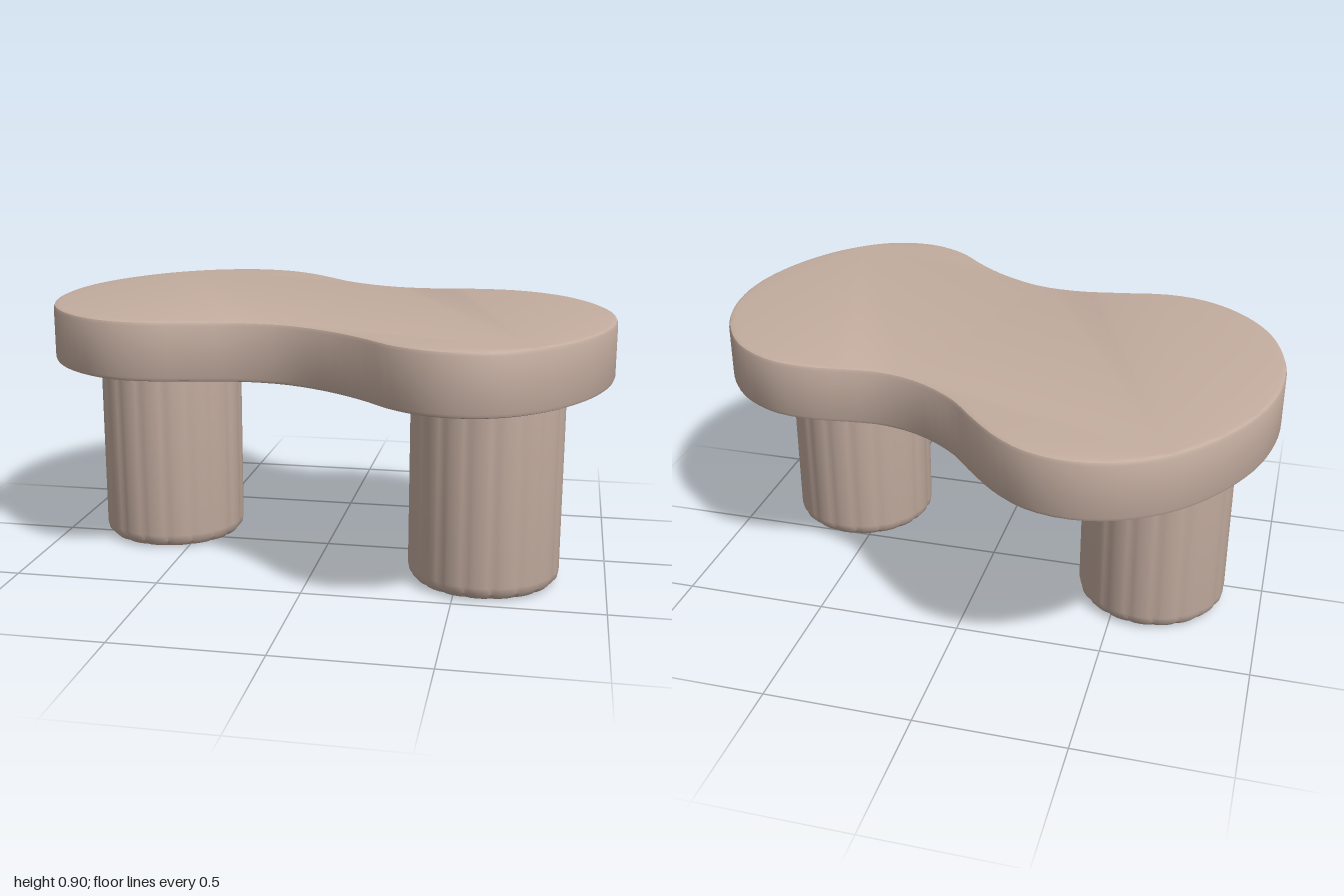
import * as THREE from 'three';
import { toCreasedNormals } from 'three/addons/utils/BufferGeometryUtils.js';

const stone = new THREE.MeshStandardMaterial({ color: 0xc4ada0 });
stone.name = 'warm clay';

// Outline of the kidney-shaped slab as x, z pairs
const OUTLINE = [
  [-0.45, -0.845], [-0.6, -0.81], [-0.75, -0.71], [-0.88, -0.54], [-0.97, -0.33], [-1, -0.1],
  [-0.97, 0.12], [-0.9, 0.29], [-0.78, 0.43], [-0.65, 0.505], [-0.52, 0.522], [-0.36, 0.495],
  [-0.2, 0.472], [-0.05, 0.49], [0.1, 0.565], [0.22, 0.66], [0.32, 0.76], [0.42, 0.82],
  [0.52, 0.84], [0.66, 0.81], [0.8, 0.7], [0.91, 0.53], [0.98, 0.32], [0.995, 0.15],
  [0.97, -0.03], [0.9, -0.2], [0.8, -0.33], [0.66, -0.415], [0.52, -0.435], [0.38, -0.42],
  [0.27, -0.415], [0.14, -0.45], [0, -0.54], [-0.1, -0.65], [-0.2, -0.75], [-0.31, -0.82],
];

function makeTop() {
  const bottom = 0.703, top = 0.902, bevel = 0.014;
  const curve = new THREE.CatmullRomCurve3(
    OUTLINE.map(([x, z]) => new THREE.Vector3(x, -z, 0)), true, 'centripetal');
  const points = curve.getSpacedPoints(120).slice(0, -1);
  const shape = new THREE.Shape(points.map((p) => new THREE.Vector2(p.x, p.y)));
  const geometry = new THREE.ExtrudeGeometry(shape, {
    depth: top - bottom - 2 * bevel,
    bevelSize: bevel, bevelThickness: bevel, bevelOffset: -bevel, bevelSegments: 2,
  });
  geometry.rotateX(-Math.PI / 2).translate(0, bottom + bevel, 0);
  const mesh = new THREE.Mesh(toCreasedNormals(geometry, 0.6), stone);
  mesh.name = 'tableTop';
  return mesh;
}

// Round pillar with shallow flutes and a softened foot
function makeLeg(name, x, z) {
  const profile = [[0, 0], [0.215, 0], [0.238, 0.008], [0.254, 0.026], [0.259, 0.05], [0.259, 0.72]]
    .map(([r, y]) => new THREE.Vector2(r, y));
  const geometry = new THREE.LatheGeometry(profile, 108);
  const pos = geometry.attributes.position;
  for (let i = 0; i < pos.count; i++) {
    const angle = Math.atan2(pos.getZ(i), pos.getX(i));
    const scale = 0.978 + 0.022 * Math.sqrt(Math.abs(Math.sin(angle * 9)));
    pos.setXYZ(i, pos.getX(i) * scale, pos.getY(i), pos.getZ(i) * scale);
  }
  const mesh = new THREE.Mesh(toCreasedNormals(geometry, 0.6), stone);
  mesh.name = name;
  mesh.position.set(x, 0, z);
  return mesh;
}

export function createModel() {
  const table = new THREE.Group();
  table.name = 'coffeeTable';
  table.add(
    makeTop(),
    makeLeg('leftLeg', 0.585, 0.22),
    makeLeg('rightLeg', -0.61, -0.085),
  );
  return table;
}
